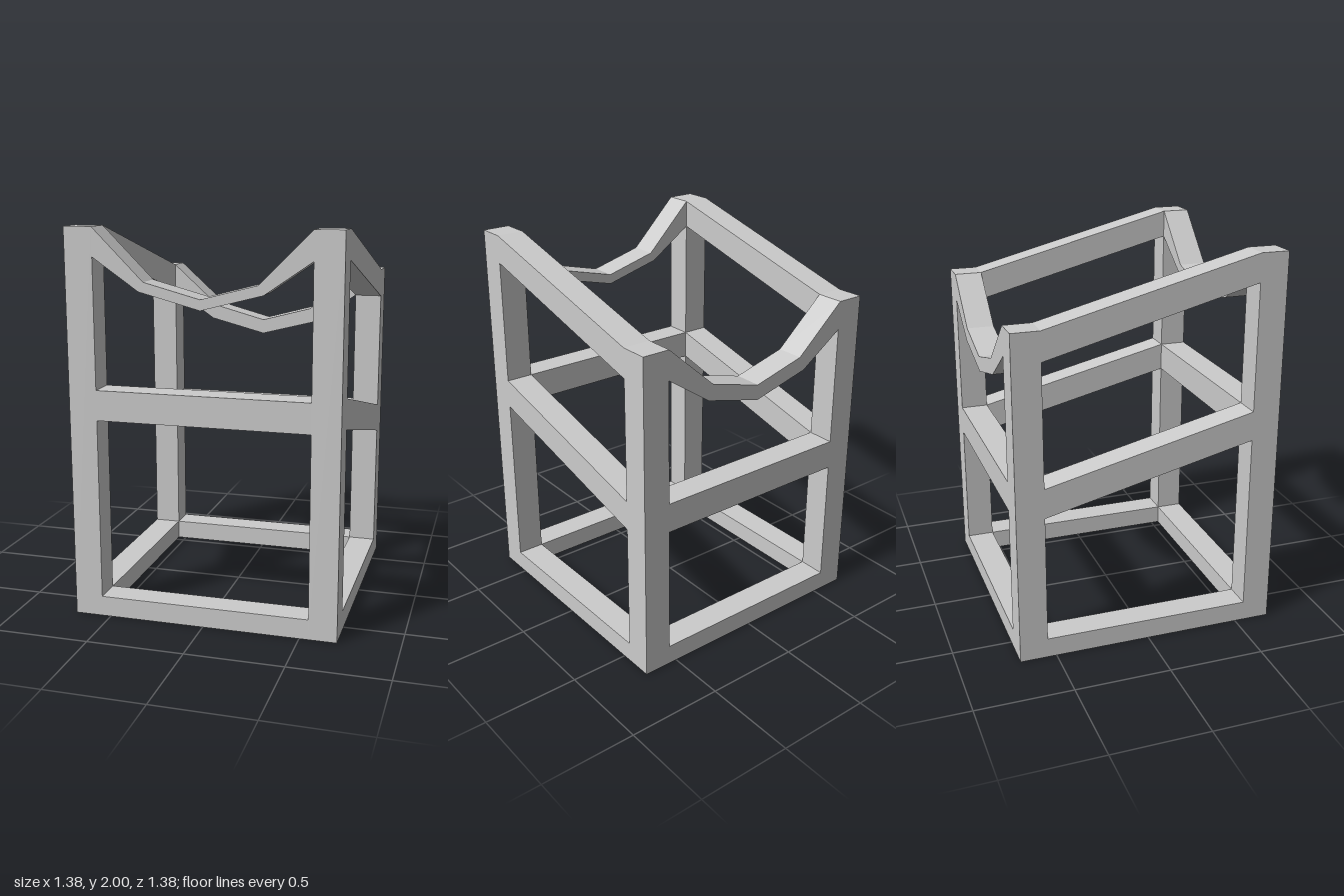
import * as THREE from 'three';

const OUTER = 0.69, INNER = 0.545, BAR = OUTER - INNER;
const material = new THREE.MeshStandardMaterial({ color: 0xcccccc, flatShading: true });
const toPoints = (list) => list.map(([a, b]) => new THREE.Vector2(a, b));

function extrude(outline, holes = []) {
  const shape = new THREE.Shape(toPoints(outline));
  holes.forEach((h) => shape.holes.push(new THREE.Path(toPoints(h))));
  return new THREE.ExtrudeGeometry(shape, { depth: BAR, bevelEnabled: false });
}

// Side frame: two posts, floor rail and two sloping rails, drawn as (z, y)
function sideFrame() {
  const outline = [[-OUTER, 0], [OUTER, 0], [OUTER, 2], [INNER, 2], [-INNER, 1.72], [-OUTER, 1.72]];
  const lower = [[-INNER, 0.105], [INNER, 0.105], [INNER, 1.043], [-INNER, 0.78]];
  const upper = [[-INNER, 0.935], [INNER, 1.197], [INNER, 1.855], [-INNER, 1.57]];
  return extrude(outline, [lower, upper]).rotateY(-Math.PI / 2);
}

// Straight rail between the posts
const rail = (y0, y1) => extrude([[-INNER, y0], [INNER, y0], [INNER, y1], [-INNER, y1]]);

// Sagging rail, mirrored from half profiles running outward from the middle
function saddle(top, bottom) {
  const mirrored = (half) => [...half.slice(1).reverse().map(([x, y]) => [-x, y]), ...half];
  return extrude([...mirrored(bottom), ...mirrored(top).reverse()]);
}

export function createModel() {
  const group = new THREE.Group();
  const add = (name, geometry, x, z) => {
    const mesh = new THREE.Mesh(geometry, material);
    mesh.name = name;
    mesh.position.set(x, 0, z);
    group.add(mesh);
  };

  const side = sideFrame();
  add('leftSideFrame', side, OUTER, 0);
  add('rightSideFrame', side, -INNER, 0);

  // Cross members of the tall front and the lower back
  const ends = [
    { name: 'front', z: INNER, mid: [1.043, 1.197],
      top: [[0, 1.665], [0.285, 1.74], [INNER, 2]],
      bottom: [[0, 1.612], [0.31, 1.693], [INNER, 1.855]] },
    { name: 'back', z: -OUTER, mid: [0.78, 0.935],
      top: [[0, 1.408], [0.28, 1.483], [INNER, 1.72]],
      bottom: [[0, 1.328], [0.31, 1.408], [INNER, 1.57]] },
  ];
  for (const { name, z, mid, top, bottom } of ends) {
    add(name + 'FloorRail', rail(0, 0.105), 0, z);
    add(name + 'MiddleRail', rail(...mid), 0, z);
    add(name + 'SaddleRail', saddle(top, bottom), 0, z);
  }
  return group;
}
